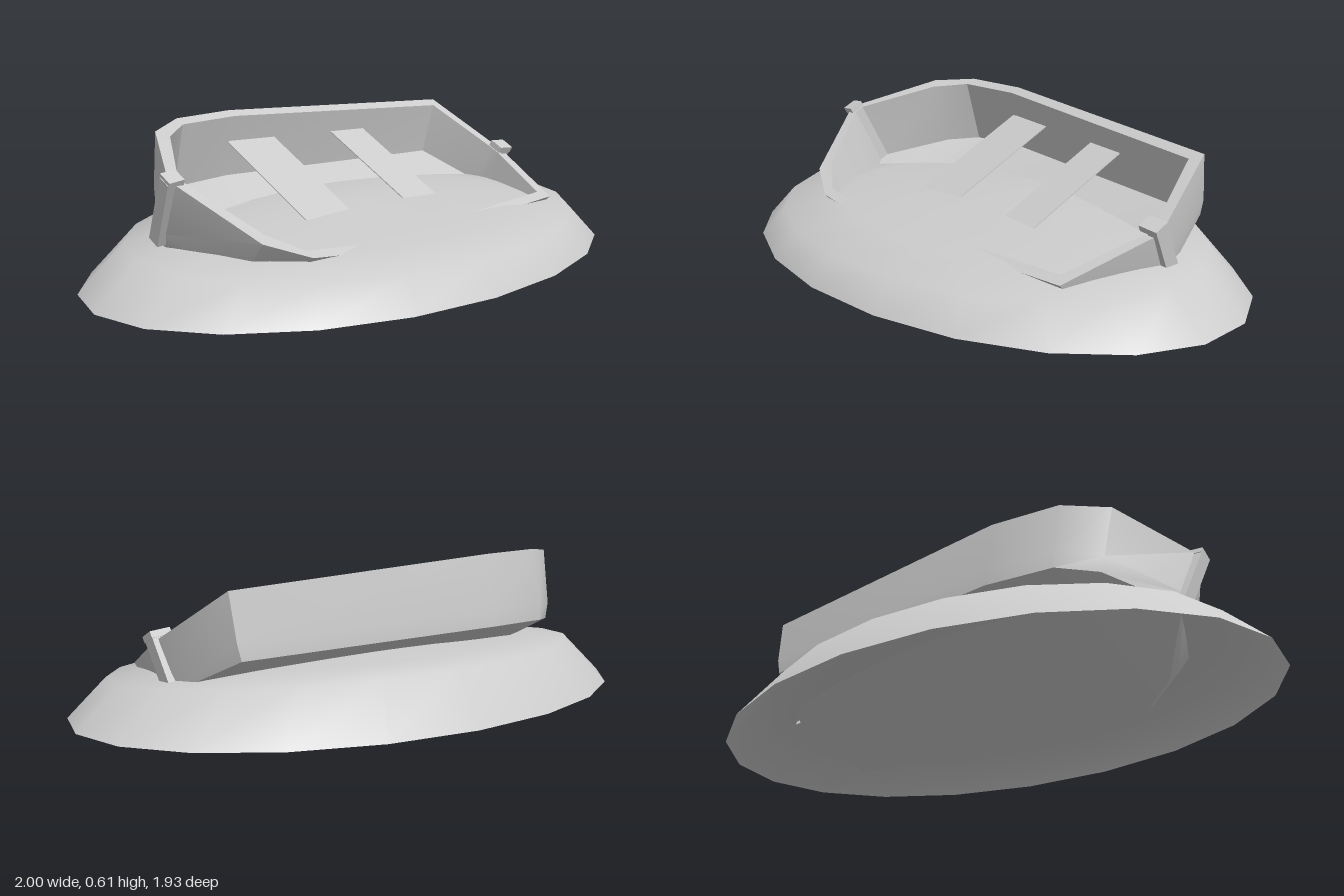
import * as THREE from 'three';
import { toCreasedNormals } from 'three/addons/utils/BufferGeometryUtils.js';

const material = new THREE.MeshStandardMaterial({ color: 0xcccccc, side: THREE.DoubleSide });

function add(parent, name, geometry) {
  const mesh = new THREE.Mesh(geometry, material);
  mesh.name = name;
  parent.add(mesh);
  return mesh;
}

function fromPoints(points, index) {
  const geo = new THREE.BufferGeometry();
  geo.setAttribute('position', new THREE.Float32BufferAttribute(points.flat(), 3));
  geo.setIndex(index);
  geo.computeVertexNormals();
  return geo;
}

// Tilted oval mound, open underneath, built from rings around a peak
function moundGeometry() {
  const sides = 20;
  // [scale, height, tilt, widening of the low side]
  const rings = [
    [1, 0.057, 0, 0],
    [0.86, 0.208, 0.058, 0.04],
    [0.62, 0.238, 0.055, 0],
    [0.35, 0.258, 0.085, 0],
    [0.15, 0.265, 0.1, 0],
  ];
  const points = [], index = [];
  rings.forEach(([scale, height, tilt, widen], r) => {
    for (let i = 0; i < sides; i++) {
      const t = (i / sides) * Math.PI * 2 + 0.06;
      const size = scale + widen * Math.sin(t);
      const along = 1.172 * Math.cos(t) * size, across = 0.763 * Math.sin(t) * size;
      points.push([along * 0.744 + across * 0.668, height - tilt * across, -along * 0.668 + across * 0.744]);
      if (r > 0) {
        const j = (i + 1) % sides, a = (r - 1) * sides, b = r * sides;
        index.push(a + i, b + i, a + j, a + j, b + i, b + j);
      }
    }
  });
  const last = (rings.length - 1) * sides;
  points.push([0, 0.267, 0]);
  for (let i = 0; i < sides; i++) index.push(last + i, points.length - 1, last + (i + 1) % sides);
  return fromPoints(points, index);
}

// Hull shell: bottom, chine, gunwale, inner gunwale and floor rings, stern to bow
function hullGeometry() {
  // [half beam, sheer height, length position, bottom height]
  const stations = [
    [0.03, -0.035, -0.1, -0.22],
    [0.375, 0, 0, -0.222],
    [0.457, 0.024, 1.1, -0.238],
    [0.43, 0.038, 1.37, -0.228],
    [0.338, 0.062, 1.53, -0.2],
    [0.03, 0.11, 1.69, -0.16],
  ];
  const n = stations.length, count = n * 2;
  const ring = (inset, ends, yOf) => {
    const half = stations.map((s, k) => [
      Math.max(s[0] - inset, 0.02),
      yOf(s),
      s[2] + (k < 2 ? ends : k > 3 ? -ends : 0),
    ]);
    return [...half, ...half.map(([x, y, z]) => [-x, y, z]).reverse()];
  };
  const points = [
    ...ring(0.08, 0.03, s => s[3]),
    ...ring(0.056, 0.015, s => s[3] + 0.055),
    ...ring(0, 0, s => s[1]),
    ...ring(0.042, 0.038, s => s[1]),
    ...ring(0.095, 0.055, s => s[3] + 0.015),
  ];
  const index = [];
  for (let r = 0; r < 4; r++) {
    for (let i = 0; i < count; i++) {
      const j = (i + 1) % count, a = r * count, b = a + count;
      index.push(a + i, b + i, a + j, a + j, b + i, b + j);
    }
  }
  // Flat bottom and floor
  for (let i = 0; i < n - 1; i++) {
    const p = count - 1 - i, f = 4 * count;
    index.push(i, i + 1, p, i + 1, p - 1, p);
    index.push(f + i, f + p, f + i + 1, f + i + 1, f + p, f + p - 1);
  }
  return toCreasedNormals(fromPoints(points, index), 0.5);
}

// End post with a small cap, running from a low point to a high point
function addPost(parent, name, low, high, capLength, capShift) {
  const a = new THREE.Vector3(0, ...low), b = new THREE.Vector3(0, ...high);
  const post = new THREE.Group();
  post.name = name;
  const length = a.distanceTo(b);
  add(post, name + 'Shaft', new THREE.BoxGeometry(0.055, length, 0.045));
  add(post, name + 'Cap', new THREE.BoxGeometry(0.06, 0.025, capLength)).position.set(0, length / 2, capShift);
  post.position.copy(a).lerp(b, 0.5);
  post.quaternion.setFromUnitVectors(new THREE.Vector3(0, 1, 0), b.sub(a).normalize());
  parent.add(post);
}

export function createModel() {
  const model = new THREE.Group();
  model.name = 'strandedRowboat';
  add(model, 'sandMound', moundGeometry());

  // Boat heeled over on its side: x across, y up, z toward the bow
  const boat = new THREE.Group();
  boat.name = 'boat';
  const across = new THREE.Vector3(0.589, -0.45, 0.67).normalize();
  const forward = new THREE.Vector3(-0.751, 0, 0.66).normalize();
  const up = forward.clone().cross(across).normalize();
  boat.quaternion.setFromRotationMatrix(new THREE.Matrix4().makeBasis(across, up, forward));
  boat.position.set(0.59, 0.3825, -0.53);
  model.add(boat);

  add(boat, 'hull', hullGeometry());

  // Thin bench seats
  for (const [name, z, width, span] of [['bowSeat', 1.007, 0.225, 0.8], ['sternSeat', 0.517, 0.175, 0.74]]) {
    add(boat, name, new THREE.BoxGeometry(span, 0.004, width)).position.set(0, -0.08, z);
  }

  addPost(boat, 'sternPost', [-0.21, -0.08], [-0.015, -0.1], 0.08, 0.015);
  addPost(boat, 'bowPost', [-0.15, 1.67], [0.115, 1.7], 0.06, -0.01);
  return model;
}
